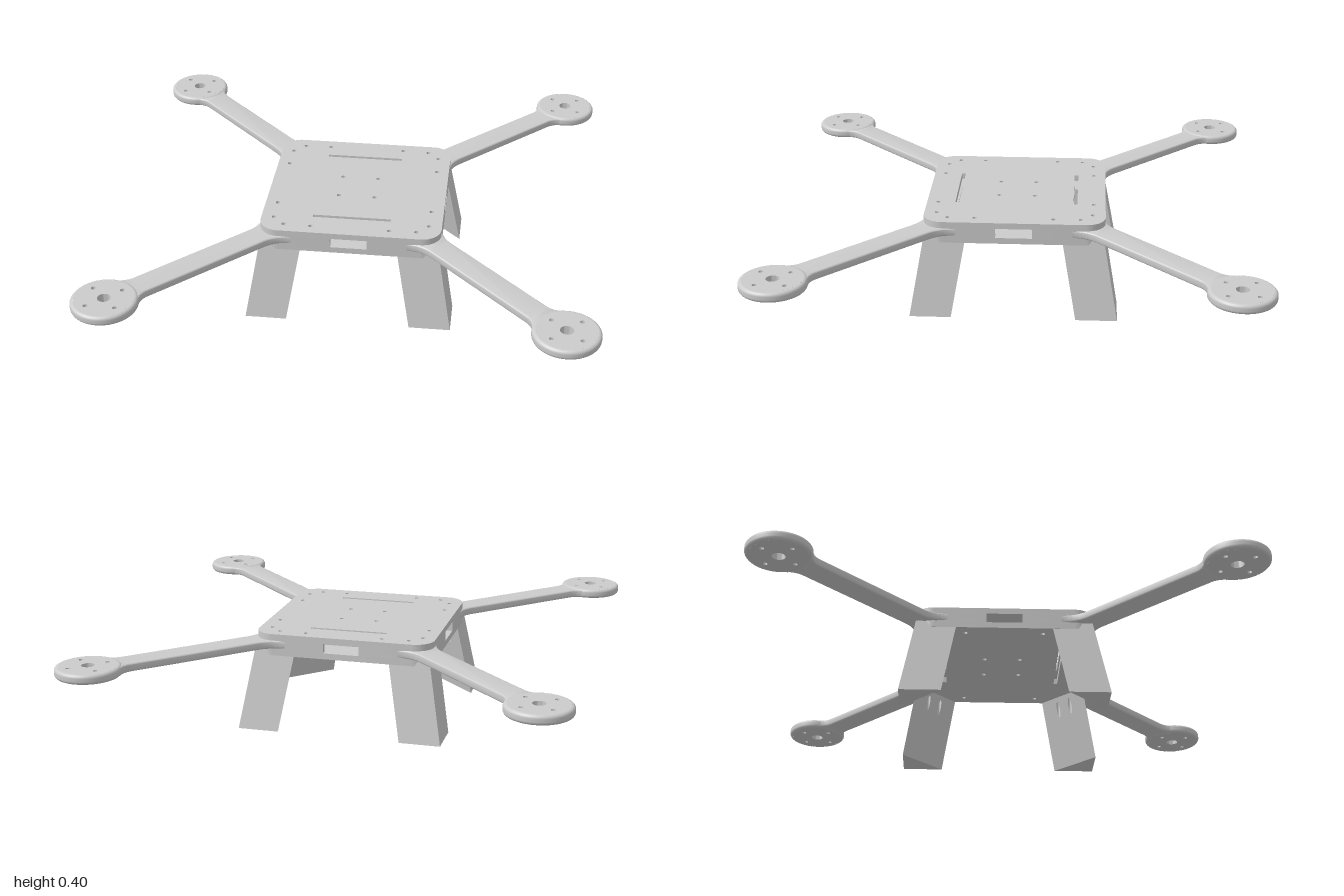
import * as THREE from 'three';
import { toCreasedNormals } from 'three/addons/utils/BufferGeometryUtils.js';

const HALF = 0.37;             // half width of the body
const HOLE = 0.009;            // screw hole radius
const HUB = 0.87;              // motor mount centre
const grey = new THREE.MeshStandardMaterial({ color: 0xcccccc });
const greyThin = new THREE.MeshStandardMaterial({ color: 0xcccccc, side: THREE.DoubleSide });

function part(name, geometry, material = grey) {
  const mesh = new THREE.Mesh(geometry, material);
  mesh.name = name;
  return mesh;
}

// Horizontal slab from a shape drawn in (x, z), between two heights.
function slab(shape, y0, y1, bevel = 0) {
  const g = new THREE.ExtrudeGeometry(shape, {
    depth: y1 - y0 - 2 * bevel, curveSegments: 20, bevelEnabled: bevel > 0,
    bevelSize: bevel, bevelThickness: bevel, bevelOffset: -bevel, bevelSegments: 3,
  });
  g.rotateX(Math.PI / 2).translate(0, y1 - bevel, 0);
  return toCreasedNormals(g, 0.6);
}

function circle(x, y, r) {
  return new THREE.Path().absarc(x, y, r, 0, Math.PI * 2);
}

// Rounded square plate with strap slots and screw holes.
function plateShape() {
  const h = HALF, c = HALF - 0.08, s = new THREE.Shape();
  s.absarc(c, c, h - c, 0, Math.PI / 2);
  s.absarc(-c, c, h - c, Math.PI / 2, Math.PI);
  s.absarc(-c, -c, h - c, Math.PI, Math.PI * 1.5);
  s.absarc(c, -c, h - c, Math.PI * 1.5, Math.PI * 2);
  for (const sx of [-1, 1]) for (const sy of [-1, 1]) {
    for (const [x, y] of [[0.27, 0.318], [0.318, 0.27], [0.16, 0.322], [0.32, 0.16], [0.075, 0.075]])
      s.holes.push(circle(sx * x, sy * y, HOLE));
  }
  for (const y of [-0.245, 0.245]) {
    s.holes.push(new THREE.Path([[-0.16, -0.008], [0.16, -0.008], [0.16, 0.008], [-0.16, 0.008]]
      .map(([x, dy]) => new THREE.Vector2(x, y + dy))));
  }
  return s;
}

// L-shaped wall around one corner, leaving a window between neighbours.
function cornerWall() {
  const c = HALF - 0.08, inner = HALF - 0.025, w = 0.075;
  const s = new THREE.Shape().moveTo(HALF, w);
  s.lineTo(HALF, c);
  s.absarc(c, c, 0.08, 0, Math.PI / 2);
  s.lineTo(w, HALF).lineTo(w, inner).lineTo(c, inner);
  s.absarc(c, c, 0.055, Math.PI / 2, 0, true);
  s.lineTo(inner, w).closePath();
  return part('cornerWall', slab(s, 0.335, 0.375));
}

// Arm along +x, flaring at both ends.
function arm() {
  const s = new THREE.Shape().moveTo(0.428, -0.096);
  s.quadraticCurveTo(0.47, -0.053, 0.53, -0.053).lineTo(1.07, -0.053);
  s.quadraticCurveTo(1.105, -0.053, 1.13, -0.08);
  s.lineTo(1.13, 0.08).quadraticCurveTo(1.105, 0.053, 1.07, 0.053);
  s.lineTo(0.53, 0.053).quadraticCurveTo(0.47, 0.053, 0.428, 0.096).closePath();
  const mesh = part('arm', slab(s, 0.34, 0.373, 0.006));
  mesh.rotation.y = -Math.PI / 4;
  return mesh;
}

// Round motor mount: drilled disc with a rounded rim.
function motorMount() {
  const group = new THREE.Group(), y0 = 0.337, y1 = 0.377, r = 0.13, b = 0.014;
  group.name = 'motorMount';
  const s = new THREE.Shape().absarc(0, 0, r - b, 0, Math.PI * 2);
  s.holes.push(circle(0, 0, 0.026));
  for (const x of [-0.057, 0.057]) for (const z of [-0.057, 0.057]) s.holes.push(circle(x, z, HOLE));
  const rim = [];
  for (let i = 0; i <= 5; i++) {
    const a = -Math.PI / 2 + (i / 5) * Math.PI / 2;
    rim.push(new THREE.Vector2(r - b + b * Math.cos(a), y0 + b + b * Math.sin(a)));
  }
  for (let i = 0; i <= 5; i++) {
    const a = (i / 5) * Math.PI / 2;
    rim.push(new THREE.Vector2(r - b + b * Math.cos(a), y1 - b + b * Math.sin(a)));
  }
  group.add(part('mountDisc', slab(s, y0, y1)), part('mountRim', new THREE.LatheGeometry(rim, 48)));
  group.position.set(HUB, 0, HUB);
  return group;
}

// Triangular leg leaning outward; vertical screw holes break out of its inner face.
function leg() {
  const group = new THREE.Group(), top = 0.34, W = 0.17;
  group.name = 'leg';
  const corner = y => 0.425 - 0.18 * y;
  const faceY = sum => (0.85 - W - sum) / 0.36;
  const ring = y => { const c = corner(y); return [[c, y, c - W], [c, y, c], [c - W, y, c]]; };
  const [a, b, c] = ring(0), [d, e, f] = ring(top);
  const outer = new THREE.BufferGeometry();
  outer.setAttribute('position', new THREE.Float32BufferAttribute(
    [a, d, e, a, e, b, b, e, f, b, f, c, a, b, c].flat(), 3));
  outer.computeVertexNormals();
  group.add(part('legOuter', outer, greyThin));

  // Inner face, drawn in (x - z, y) and laid onto the slope.
  const face = new THREE.Shape([[-W, 0], [W, 0], [W, top], [-W, top]].map(p => new THREE.Vector2(...p)));
  for (const [hx, hz] of [[0.27, 0.318], [0.318, 0.27]]) {
    const pts = [];
    for (let i = 0; i < 24; i++) {
      const t = (i / 24) * Math.PI * 2, x = hx + HOLE * Math.cos(t), z = hz + HOLE * Math.sin(t);
      pts.push(new THREE.Vector2(x - z, faceY(x + z)));
    }
    face.holes.push(new THREE.Path(pts));
    const bore = new THREE.CylinderGeometry(HOLE, HOLE, 1, 24, 1, true).translate(hx, 0, hz);
    const p = bore.attributes.position;
    for (let i = 0; i < p.count; i++)
      p.setY(i, p.getY(i) > 0 ? 0.335 : faceY(p.getX(i) + p.getZ(i)));
    group.add(part('screwBore', bore, greyThin));
  }
  const inner = new THREE.ShapeGeometry(face), q = inner.attributes.position;
  for (let i = 0; i < q.count; i++) {
    const diff = q.getX(i), y = q.getY(i), sum = 2 * corner(y) - W;
    q.setXYZ(i, (sum + diff) / 2, y, (sum - diff) / 2);
  }
  inner.computeVertexNormals();
  group.add(part('legInner', inner, greyThin));
  return group;
}

export function createModel() {
  const model = new THREE.Group();
  model.name = 'quadcopterFrame';
  model.add(part('topPlate', slab(plateShape(), 0.375, 0.4)));
  model.add(part('bottomPlate', slab(plateShape(), 0.31, 0.335)));

  // Four identical corners.
  for (let i = 0; i < 4; i++) {
    const quarter = new THREE.Group();
    quarter.name = 'corner' + (i + 1);
    quarter.add(cornerWall(), arm(), motorMount(), leg());
    quarter.rotation.y = i * Math.PI / 2;
    model.add(quarter);
  }
  return model;
}
